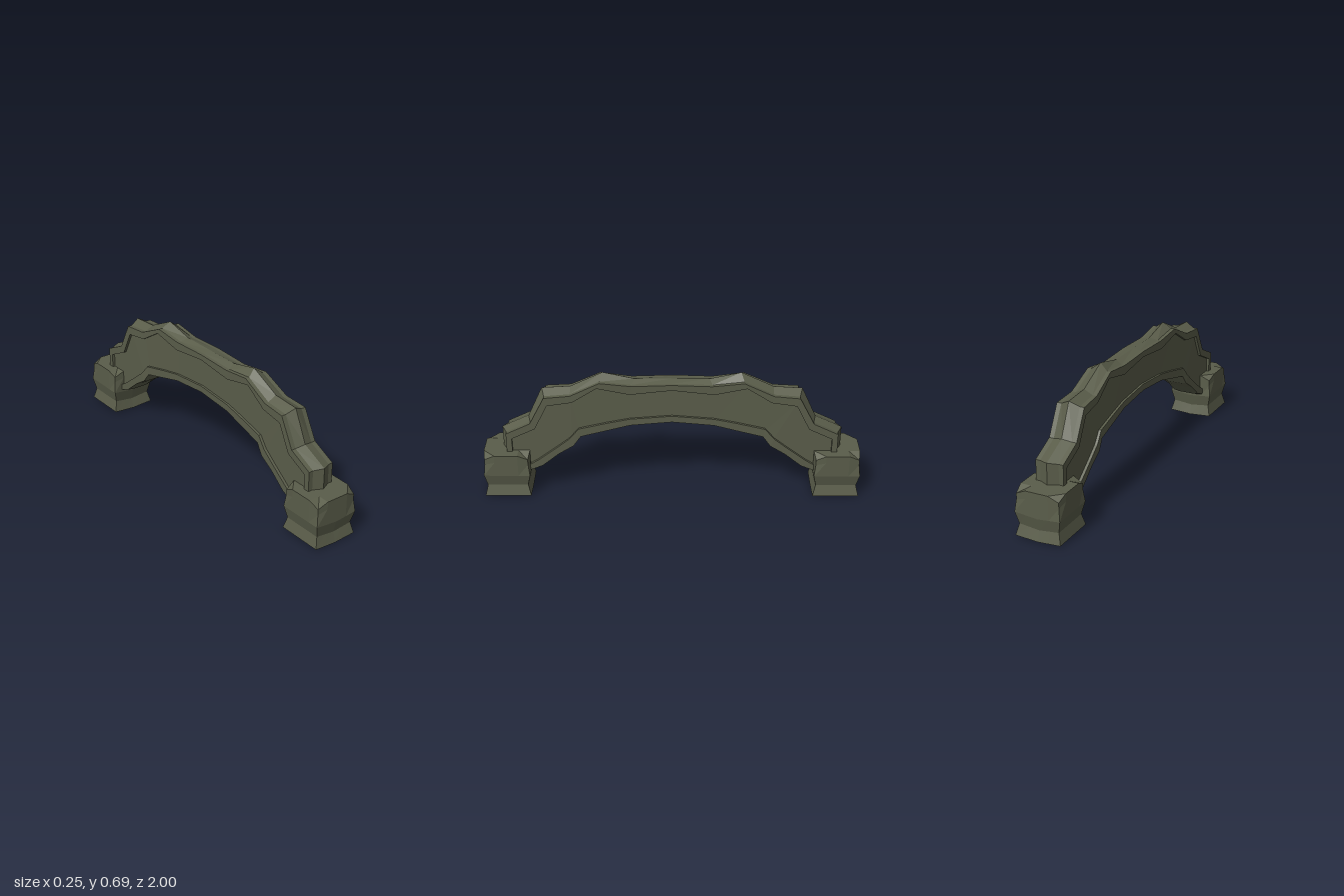
import * as THREE from 'three';

const stone = new THREE.MeshStandardMaterial({ color: 0x5a5d4a });
stone.name = 'mossy stone';

// Half of the arch, centre to end: half width, then [z, y] of each edge line
const stations = [
  { w: 0.06, ridge: [0, 0.656], edge: [0, 0.647], lip: [0, 0.617], ledge: [0, 0.465], base: [0, 0.43] },
  { w: 0.06, ridge: [0.195, 0.656], edge: [0.21, 0.64], lip: [0.22, 0.592], ledge: [0.22, 0.447], base: [0.22, 0.41] },
  { w: 0.065, ridge: [0.36, 0.693], edge: [0.375, 0.66], lip: [0.39, 0.63], ledge: [0.34, 0.425], base: [0.35, 0.378] },
  { w: 0.07, ridge: [0.53, 0.612], edge: [0.53, 0.588], lip: [0.52, 0.55], ledge: [0.49, 0.392], base: [0.48, 0.347] },
  { w: 0.075, ridge: [0.68, 0.603], edge: [0.665, 0.578], lip: [0.65, 0.533], ledge: [0.54, 0.335], base: [0.52, 0.293] },
  { w: 0.075, ridge: [0.757, 0.437], edge: [0.745, 0.426], lip: [0.72, 0.395], ledge: [0.61, 0.28], base: [0.6, 0.243] },
  { w: 0.075, ridge: [0.9, 0.37], edge: [0.875, 0.364], lip: [0.845, 0.335], ledge: [0.71, 0.205], base: [0.69, 0.17] },
  { w: 0.075, ridge: [0.9, 0.2], edge: [0.875, 0.2], lip: [0.845, 0.2], ledge: [0.8, 0.15], base: [0.8, 0.125] },
];

// Full run from the front end (+z) to the back end (-z)
const run = [
  ...stations.slice(1).reverse().map((s) => ({ s, side: 1 })),
  ...stations.map((s) => ({ s, side: -1 })),
];

// Joins closed cross-sections; section(s) lists [x, [z, y]] anticlockwise seen from the front
function loft(name, section) {
  const rings = run.map(({ s, side }) =>
    section(s).map(([x, [z, y]]) => [x, y, z * side]));
  const pos = [];
  for (let i = 0; i < rings.length - 1; i++) {
    const n = rings[i].length;
    for (let j = 0; j < n; j++) {
      const k = (j + 1) % n;
      const a = rings[i][j], b = rings[i][k], c = rings[i + 1][k], d = rings[i + 1][j];
      pos.push(...a, ...d, ...c, ...a, ...c, ...b);
    }
  }
  const geo = new THREE.BufferGeometry();
  geo.setAttribute('position', new THREE.Float32BufferAttribute(pos, 3));
  geo.computeVertexNormals();
  const mesh = new THREE.Mesh(geo, stone);
  mesh.name = name;
  return mesh;
}

const mid = (a, b) => [(a[0] + b[0]) / 2, (a[1] + b[1]) / 2];

// Pinched block with dropped top corners and a slightly crowned underside
function makeFoot(name) {
  const levels = [0.01, 0.07, 0.135, 0.225, 0.257];
  const inset = [0, 0.015, 0, 0, 0];
  const box = new THREE.BoxGeometry(2, 4, 2, 4, 4, 4);
  const p = box.attributes.position;
  for (let i = 0; i < p.count; i++) {
    const u = p.getX(i), v = p.getZ(i);
    const level = Math.round(p.getY(i) + 2);
    const corner = Math.abs(u) === 1 && Math.abs(v) === 1;
    let y = levels[level];
    if (level === 0) y -= 0.008 * (1 - Math.max(Math.abs(u), 0)) ;
    if (level === 1 || level === 2) y -= 0.012 * (1 - Math.abs(u)) * Math.abs(v);
    if (level === 4 && corner) y = 0.23;
    if (level === 3) y = corner ? 0.2 : 0.215;
    const round = level >= 3 && corner ? 0.008 : 0;
    p.setXYZ(i, u * (0.123 - inset[level] - round), y, v * (0.1225 - inset[level] - round));
  }
  const geo = box.toNonIndexed();
  geo.computeVertexNormals();
  const mesh = new THREE.Mesh(geo, stone);
  mesh.name = name;
  return mesh;
}

export function createModel() {
  const model = new THREE.Group();
  model.name = 'stoneArch';

  // Raised, ridged rim along the top
  model.add(loft('upperRim', ({ w, ridge, edge, lip }) => [
    [w, lip], [w, edge], [w * 0.67, edge], [0, ridge],
    [-w * 0.67, edge], [-w, edge], [-w, lip],
  ]));

  // Recessed wall between the rims
  model.add(loft('wall', ({ w, edge, lip, ledge, base }) => {
    const top = mid(edge, lip), bottom = mid(ledge, base), h = w * 0.8;
    return [[h, bottom], [h, top], [-h, top], [-h, bottom]];
  }));

  // Raised rim along the underside
  model.add(loft('lowerRim', ({ w, ledge, base }) => [
    [w, base], [w, ledge], [-w, ledge], [-w, base],
    [-w * 0.6, [base[0], base[1] - 0.006]], [w * 0.6, [base[0], base[1] - 0.006]],
  ]));

  // Feet
  for (const side of [1, -1]) {
    const foot = makeFoot(side > 0 ? 'frontFoot' : 'backFoot');
    foot.position.z = side * 0.8775;
    if (side < 0) foot.rotation.y = Math.PI;
    model.add(foot);
  }
  return model;
}
